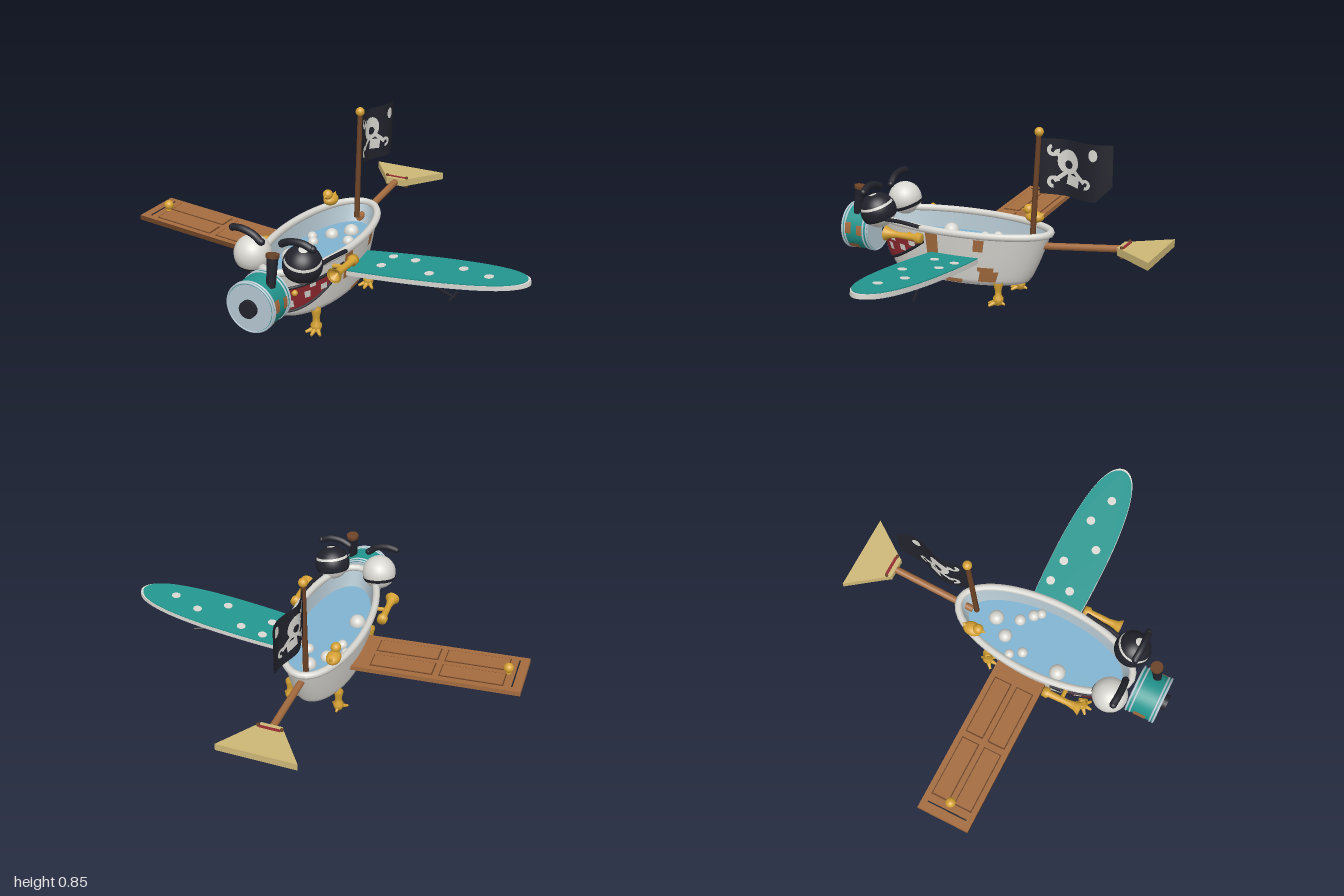
import * as THREE from 'three';
import { ParametricGeometry } from 'three/addons/geometries/ParametricGeometry.js';

const mat = (name, color) => {
  const m = new THREE.MeshStandardMaterial({ color, side: THREE.DoubleSide });
  m.name = name;
  return m;
};
const M = {
  white: mat('enamel white', 0xd9d7d1), black: mat('black', 0x22222c), gold: mat('gold', 0xd6a233),
  brown: mat('wood brown', 0xa56c3f), dark: mat('dark wood', 0x6b4226), teal: mat('teal', 0x23968f),
  red: mat('red', 0x942a30), water: mat('water blue', 0x7fb3d0), silver: mat('silver', 0xb6c8d2),
  straw: mat('straw', 0xcdb777),
};
const V = (x, y, z) => new THREE.Vector3(x, y, z);
const CX = -0.02;

// Point on the tub wall: phi = 0 is the front, positive phi goes to +x
function tub(phi, y, off = 0) {
  const s = Math.pow(Math.max(0, (y - 0.1) / 0.25), 0.8);
  return V(CX + (0.155 + 0.035 * s + off) * Math.sin(phi), y,
    0.18 - 0.01 * s + (0.36 + 0.1 * s + off) * Math.cos(phi));
}

export function createModel() {
  const root = new THREE.Group();
  const add = (name, geo, m, x = 0, y = 0, z = 0, parent = root) => {
    const mesh = new THREE.Mesh(geo, m);
    mesh.name = name;
    mesh.position.set(x, y, z);
    parent.add(mesh);
    return mesh;
  };
  const group = (name, x = 0, y = 0, z = 0) => {
    const g = new THREE.Group();
    g.name = name;
    g.position.set(x, y, z);
    root.add(g);
    return g;
  };
  const ball = (r) => new THREE.SphereGeometry(r, 24, 16);
  const cyl = (a, b, h, n = 24) => new THREE.CylinderGeometry(a, b, h, n);
  const tube = (pts, r, closed = false) =>
    new THREE.TubeGeometry(new THREE.CatmullRomCurve3(pts, closed), closed ? 64 : 32, r, 8, closed);
  const rod = (name, a, b, r1, r2, m, parent = root) => {
    const d = b.clone().sub(a);
    const mesh = add(name, cyl(r2, r1, d.length(), 14), m, 0, 0, 0, parent);
    mesh.position.copy(a).addScaledVector(d, 0.5);
    mesh.quaternion.setFromUnitVectors(V(0, 1, 0), d.normalize());
    return mesh;
  };
  const surface = (f, nu, nv) => new ParametricGeometry((u, v, t) => t.copy(f(u, v)), nu, nv);
  const wallPatch = (name, m, p0, p1, lo, hi, off) => add(name, surface((u, v) => {
    const p = p0 + (p1 - p0) * u;
    return tub(p, lo + (hi - lo) * v, off);
  }, 10, 6), m);

  // Bathtub
  const TAU = Math.PI * 2;
  add('tubWall', surface((u, v) => tub(u * TAU, 0.1 + 0.25 * v), 64, 12), M.white);
  add('tubLining', surface((u, v) => tub(u * TAU, 0.2 + 0.15 * v, -0.014), 64, 6), M.silver);
  add('tubBase', cyl(1, 0.96, 0.012, 64), M.white, CX, 0.1, 0.18).scale.set(0.155, 1, 0.36);
  const ring = Array.from({ length: 32 }, (_, i) => tub(i / 32 * TAU, 0.35, -0.003));
  add('tubRim', tube(ring, 0.018, true), M.white);
  add('water', cyl(1, 1, 0.006, 48), M.water, CX, 0.255, 0.175).scale.set(0.164, 1, 0.41);
  [[0, -0.1, 0.037], [-0.065, -0.02, 0.033], [0.04, 0.01, 0.028], [-0.14, 0.04, 0.024],
    [-0.105, 0.095, 0.025], [0.09, 0.06, 0.028], [0.115, 0.09, 0.024], [-0.12, 0.29, 0.04]]
    .forEach(([x, z, r]) => add('bubble', ball(r), M.white, x, 0.262, z));

  // Rust patches on the left wall
  [[1.9, 2.02, 0.27, 0.33], [1.98, 2.2, 0.17, 0.19], [2.02, 2.28, 0.115, 0.17], [1.57, 1.8, 0.1, 0.12],
    [1.33, 1.48, 0.2, 0.34], [2.04, 2.14, 0.15, 0.185]]
    .forEach(([a, b, lo, hi]) => wallPatch('rustPatch', M.brown, a, b, lo, hi, 0.003));

  // Spotted scarf around the bow
  const W = 1.3;
  const top = (p) => 0.265 + 0.03 * (p / W) ** 2;
  const low = (p) => 0.135 + 0.15 * Math.abs(p / W) ** 2.6;
  add('scarf', surface((u, v) => {
    const p = (u * 2 - 1) * W;
    return tub(p, low(p) + (top(p) - low(p)) * v, 0.008);
  }, 48, 6), M.red);
  [top, low].forEach((f) => add('scarfTrim', tube(Array.from({ length: 25 }, (_, i) => {
    const p = (i / 12 - 1) * W;
    return tub(p, f(p), 0.008);
  }), 0.007), M.black));
  for (const s of [-1, 1]) {
    [[0.3, 0.16, 0.2], [0.62, 0.2, 0.235], [0.9, 0.215, 0.245], [0.72, 0.25, 0.27], [1.08, 0.25, 0.275]]
      .forEach(([p, lo, hi]) => wallPatch('scarfSpot', M.white, s * p, s * (p + 0.1), lo, hi, 0.011));
    const b = tub(s * 0.45, 0.24, 0.012);
    add('scarfStud', ball(0.014), M.gold, b.x, b.y, b.z);
  }

  // Tin can engine
  const can = group('engine', CX, 0.257, 0.73);
  can.rotation.x = Math.PI / 2;
  add('canBody', cyl(0.114, 0.114, 0.145, 40), M.teal, 0, 0, 0, can);
  add('canFace', cyl(0.108, 0.108, 0.006, 40), M.silver, 0, 0.073, 0, can);
  add('canBack', cyl(0.108, 0.108, 0.006, 40), M.silver, 0, -0.073, 0, can);
  for (const y of [-0.07, -0.05, 0.055, 0.07])
    add('canRing', new THREE.TorusGeometry(0.114, 0.005, 8, 40), M.silver, 0, y, 0, can).rotation.x = Math.PI / 2;
  [[1.45, 0.5, 0.035, 0.035], [1.4, 0.45, -0.03, 0.03], [0.5, 0.4, 0.02, 0.06], [4.5, 0.5, 0, 0.06]]
    .forEach(([a, w, y, h]) => add('canRust',
      new THREE.CylinderGeometry(0.1165, 0.1165, h, 10, 1, true, a, w), M.brown, 0, y, 0, can));
  add('hub', cyl(0.04, 0.04, 0.025), M.black, 0, 0.086, 0, can);
  rod('chimney', V(0.045, 0.34, 0.735), V(0.045, 0.475, 0.715), 0.02, 0.026, M.black);
  rod('chimneyRim', V(0.045, 0.472, 0.715), V(0.045, 0.486, 0.713), 0.03, 0.03, M.dark);

  // Eyes, eye cover, strap and brows
  add('rightEye', ball(0.085), M.white, -0.145, 0.392, 0.57);
  const band = add('eyeBand', new THREE.SphereGeometry(0.087, 32, 4, 0, TAU, 1.85, 0.22), M.black, -0.145, 0.392, 0.57);
  band.rotation.set(0.3, 0, -0.15);
  const eye = group('leftEye', 0.108, 0.392, 0.572);
  eye.rotation.set(0.25, 0, -0.2);
  add('eyeball', ball(0.085), M.white, 0, 0, 0, eye);
  for (const [a, w] of [[0.25, 0.85], [1.25, 0.75]])
    add('eyeCover', new THREE.SphereGeometry(0.089, 32, 12, 0, TAU, a, w), M.black, 0, 0, 0, eye);
  add('eyeStrap', tube([V(0.14, 0.36, 0.52), V(0.16, 0.366, 0.42), V(0.178, 0.36, 0.3)], 0.01), M.black);
  [[-0.145, 0.502, -0.28], [0.105, 0.498, 0.03]].forEach(([x, y, r]) => {
    const brow = add('eyebrow', tube([V(-0.075, -0.004, 0), V(-0.03, 0.012, 0.004), V(0.03, 0.012, 0.004), V(0.075, -0.008, 0)], 0.017), M.black, x, y, 0.61);
    brow.rotation.z = r;
    for (const s of [-1, 1]) add('browTip', ball(0.017), M.black, s * 0.075, -0.006, 0, brow);
  });

  // Horns on both sides
  const horn = [[0, -0.1], [0.024, -0.1], [0.026, -0.075], [0.017, -0.065], [0.015, 0.03], [0.022, 0.07], [0.036, 0.095], [0.026, 0.088], [0, 0.06]]
    .map(([x, y]) => new THREE.Vector2(x, y));
  for (const s of [-1, 1]) {
    add('horn', new THREE.LatheGeometry(horn, 24), M.gold, CX + s * 0.228, 0.316, 0.375).rotation.x = Math.PI / 2;
    rod('hornBracket', V(CX + s * 0.17, 0.31, 0.37), V(CX + s * 0.228, 0.316, 0.37), 0.01, 0.01, M.gold);
  }

  // Right wing: a panelled door
  const door = group('doorWing', -0.585, 0.243, 0.13);
  door.rotation.z = -0.08;
  add('doorSlab', new THREE.BoxGeometry(0.83, 0.024, 0.26),
    [M.brown, M.brown, M.brown, M.brown, M.dark, M.brown], 0, 0, 0, door);
  for (const z of [-0.058, 0.058]) for (const x of [-0.175, 0.165]) {
    add('panelGroove', new THREE.BoxGeometry(0.31, 0.003, 0.09), M.dark, x, 0.0125, z, door);
    add('panel', new THREE.BoxGeometry(0.298, 0.007, 0.08), M.brown, x, 0.0135, z, door);
  }
  add('doorGap', new THREE.BoxGeometry(0.006, 0.004, 0.2), M.black, -0.37, 0.0125, 0, door);
  add('doorKnob', ball(0.024), M.gold, -0.335, 0.042, 0, door);
  add('knobStem', cyl(0.01, 0.014, 0.03), M.gold, -0.335, 0.02, 0, door);

  // Left wing: an ironing board with folded legs
  const board = group('boardWing', 0.14, 0.222, 0.13);
  board.rotation.z = 0.103;
  const layer = (name, m, y, h, k) => {
    const s = new THREE.Shape();
    s.moveTo(0, -0.122 * k);
    s.bezierCurveTo(0.15, -0.135 * k, 0.35, -0.135 * k, 0.45, -0.131 * k);
    s.bezierCurveTo(0.68, -0.12 * k, 0.85 * k, -0.085, 0.855 * k, 0);
    s.bezierCurveTo(0.85 * k, 0.085, 0.68, 0.12 * k, 0.45, 0.131 * k);
    s.bezierCurveTo(0.35, 0.135 * k, 0.15, 0.135 * k, 0, 0.122 * k);
    const g = new THREE.ExtrudeGeometry(s, { depth: h, bevelEnabled: false, curveSegments: 16 });
    add(name, g.rotateX(Math.PI / 2), m, 0, y, 0, board);
  };
  layer('boardCover', M.teal, 0.015, 0.006, 0.985);
  layer('boardEdge', M.white, 0.01, 0.02, 1);
  layer('boardUnderside', M.silver, -0.009, 0.004, 0.985);
  [[0.29, 0.16], [0.3, 0.05], [0.42, 0.065], [0.54, 0.185], [0.67, 0.095], [0.81, 0.145]]
    .forEach(([x, z]) => add('coverSpot', cyl(0.022, 0.022, 0.004, 16), M.white, x - 0.14, 0.0155, z - 0.13, board));
  for (const s of [-1, 1])
    rod('boardLeg', V(0.3, 0.22, 0.125 - s * 0.075), V(0.67, 0.195, 0.125 + s * 0.075), 0.007, 0.007, M.black);
  rod('legFoot', V(0.66, 0.196, 0.15), V(0.66, 0.196, 0.24), 0.007, 0.007, M.black);
  rod('legHinge', V(0.32, 0.22, 0.06), V(0.32, 0.24, 0.19), 0.007, 0.007, M.black);

  // Broom tail
  rod('broomStick', V(CX, 0.285, -0.22), V(CX, 0.332, -0.66), 0.017, 0.017, M.brown);
  const bristles = new THREE.Shape([[-0.05, -0.64], [0.05, -0.64], [0.07, -0.67], [0.19, -0.835], [-0.19, -0.835], [-0.07, -0.67]]
    .map(([x, z]) => new THREE.Vector2(x, z)));
  add('bristles', new THREE.ExtrudeGeometry(bristles, { depth: 0.036, bevelEnabled: false }).rotateX(Math.PI / 2), M.straw, CX, 0.35, 0);
  add('broomBinding', new THREE.BoxGeometry(0.1, 0.042, 0.014), M.red, CX, 0.332, -0.668);
  for (const s of [-1, 1]) add('bindingKnot', cyl(0.008, 0.008, 0.055, 10), M.dark, CX + s * 0.055, 0.332, -0.664);

  // Flag pole and waving flag
  rod('flagPole', V(CX, 0.3, -0.198), V(CX, 0.82, -0.226), 0.014, 0.012, M.dark);
  add('poleBall', ball(0.022), M.gold, CX, 0.835, -0.227);
  const wave = (z) => CX + 0.025 * Math.sin((z + 0.23) * 17) * Math.min(1, (-z - 0.2) * 6);
  add('flag', surface((u, v) => {
    const z = -0.232 - (0.285 + 0.075 * Math.min(1, v * 3.5)) * u;
    return V(wave(z), 0.545 - 0.008 * u + (0.262 + 0.008 * u) * v, z);
  }, 32, 14), M.black);
  // Flat emblem pieces: (z, y) outlines bent to follow the cloth on both faces
  const emblem = (name, f, m, lift) => {
    for (const s of [-1, 1]) add(name, surface((u, v) => {
      const [z, y] = f(u, v);
      return V(wave(z) + s * lift, y, z);
    }, 20, 6), m);
  };
  const disc = (z, y, a, b, a0 = 0, sweep = TAU, inner = 0) => (u, v) => {
    const t = a0 + sweep * u, k = inner + (1 - inner) * v;
    return [z + a * k * Math.cos(t), y + b * k * Math.sin(t)];
  };
  const bar = (z0, y0, z1, y1, w) => (u, v) => {
    const l = Math.hypot(z1 - z0, y1 - y0), k = (v - 0.5) * w / l;
    return [z0 + (z1 - z0) * u - (y1 - y0) * k, y0 + (y1 - y0) * u + (z1 - z0) * k];
  };
  emblem('skull', disc(-0.37, 0.705, 0.055, 0.058), M.white, 0.003);
  emblem('skullJaw', bar(-0.365, 0.625, -0.43, 0.615, 0.05), M.white, 0.003);
  emblem('skullEye', disc(-0.373, 0.693, 0.02, 0.02), M.black, 0.005);
  emblem('crossBar', bar(-0.3, 0.75, -0.46, 0.62, 0.02), M.white, 0.003);
  emblem('crossBar', bar(-0.3, 0.61, -0.42, 0.7, 0.02), M.white, 0.003);
  emblem('wrenchHead', disc(-0.296, 0.755, 0.03, 0.03, -3.4, 4.6, 0.4), M.white, 0.003);
  emblem('wrenchHead', disc(-0.298, 0.605, 0.03, 0.03, -1.6, 4.6, 0.4), M.white, 0.003);
  emblem('wrenchHead', disc(-0.465, 0.615, 0.028, 0.025, 0.3, 4.6, 0.4), M.white, 0.003);
  emblem('flagPatch', disc(-0.503, 0.755, 0.022, 0.028), M.white, 0.003);

  // Rubber duck on the rim
  const duck = group('duck', -0.142, 0.36, -0.155);
  add('duckBody', ball(0.035), M.gold, 0, 0.026, 0, duck).scale.set(1, 0.8, 1.35);
  add('duckHead', ball(0.025), M.gold, 0, 0.062, 0.032, duck);
  add('duckTail', new THREE.ConeGeometry(0.018, 0.035, 12), M.gold, 0, 0.04, -0.04, duck).rotation.x = -0.9;
  add('duckBeak', new THREE.ConeGeometry(0.012, 0.025, 12), M.gold, 0, 0.058, 0.06, duck).rotation.x = Math.PI / 2;

  // Claw feet
  const leg = [[0, 0], [0.018, 0.004], [0.025, 0.022], [0.026, 0.038], [0.016, 0.052], [0.016, 0.075], [0.023, 0.105], [0.023, 0.115]]
    .map(([x, y]) => new THREE.Vector2(x, y));
  for (const x of [-0.125, 0.125]) for (const z of [0.45, -0.08]) {
    const foot = group('clawFoot', CX + x, 0, z);
    add('leg', new THREE.LatheGeometry(leg, 20), M.gold, 0, 0.004, 0, foot);
    for (const a of [-0.85, 0, 0.85])
      rod('toe', V(0, 0.026, 0), V(0.05 * Math.sin(a), 0.008, 0.05 * Math.cos(a)), 0.014, 0.006, M.gold, foot);
    rod('spur', V(0, 0.026, 0), V(0, 0.012, -0.035), 0.012, 0.005, M.gold, foot);
  }
  return root;
}
